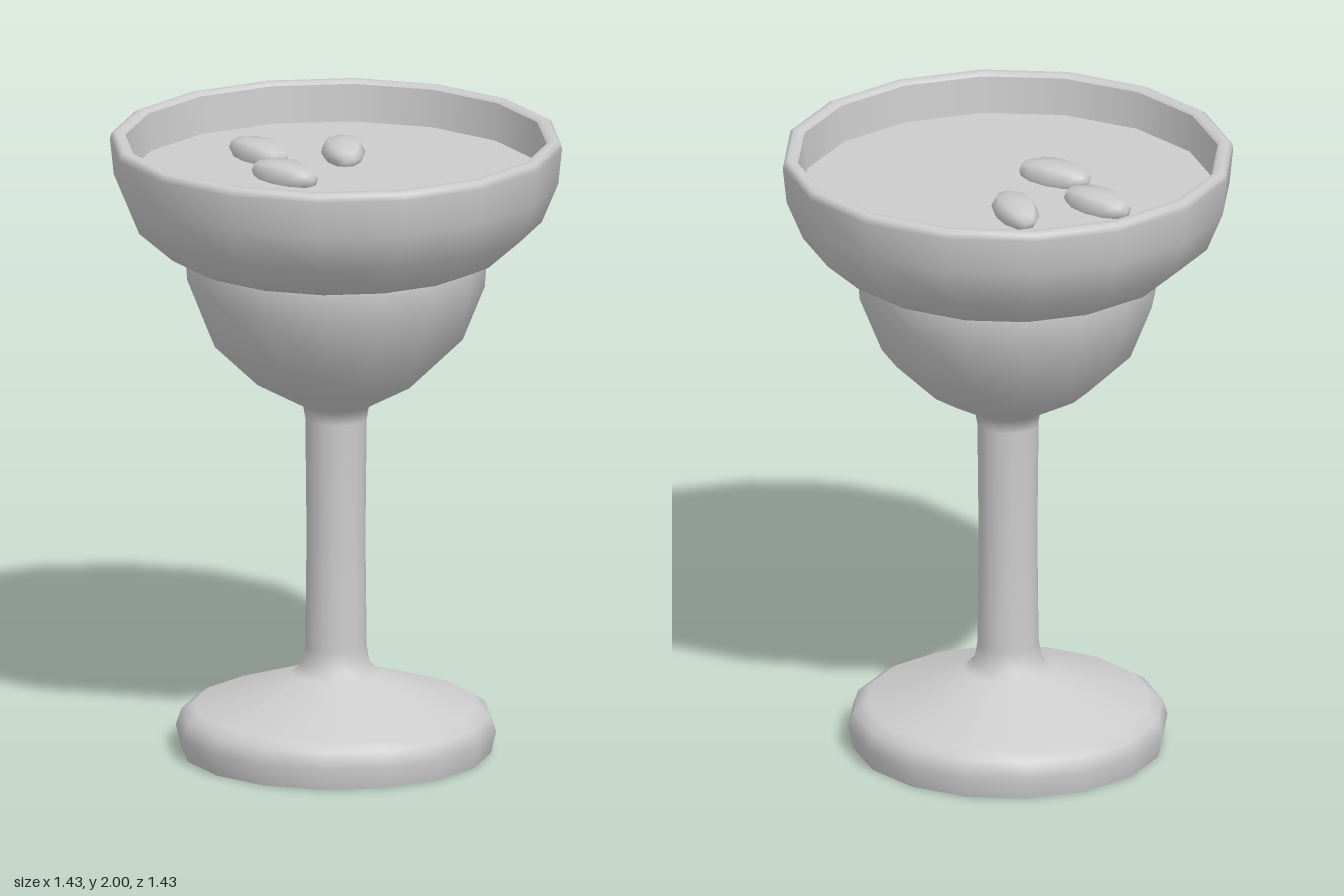
import * as THREE from 'three';
import { mergeVertices } from 'three/addons/utils/BufferGeometryUtils.js';

const SIDES = 16;

export function createModel() {
  const model = new THREE.Group();
  model.name = 'cocktailGlass';
  const grey = new THREE.MeshStandardMaterial({ color: 0xcccccc });
  grey.name = 'light grey';

  const add = (name, geometry) => {
    const mesh = new THREE.Mesh(geometry, grey);
    mesh.name = name;
    model.add(mesh);
    return mesh;
  };
  // turned part from [radius, height] pairs
  const turned = (name, profile) =>
    add(name, new THREE.LatheGeometry(profile.map(([r, y]) => new THREE.Vector2(r, y)), SIDES));

  // flat underside of the foot
  turned('footUnderside', [[0, 0], [0.49, 0]]);

  // foot, stem and lower bowl in one smooth sweep
  turned('footStemAndLowerBowl', [
    [0.49, 0], [0.506, 0.07], [0.49, 0.12], [0.45, 0.146], [0.14, 0.252], [0.108, 0.28],
    [0.097, 0.34], [0.093, 0.7], [0.097, 1.08], [0.105, 1.125],
    [0.26, 1.21], [0.4, 1.345], [0.47, 1.52], [0.476, 1.6], [0.474, 1.615],
  ]);

  // wide upper bowl, with the rim rolled over to the inside wall
  turned('upperBowl', [
    [0.47, 1.612], [0.49, 1.614], [0.54, 1.638], [0.65, 1.735], [0.702, 1.86],
    [0.714, 1.975], [0.71, 1.993], [0.698, 2], [0.675, 2], [0.665, 1.99],
  ]);
  turned('innerWall', [[0.665, 1.99], [0.655, 1.86]]);

  // drink surface
  turned('drink', [[0.657, 1.87], [0, 1.87]]);

  // floating beans: stretched spheres with a groove along the top
  const beanShape = () => {
    const g = new THREE.SphereGeometry(1, 8, 6).rotateX(Math.PI / 2);
    g.deleteAttribute('uv');
    g.deleteAttribute('normal');
    const bean = mergeVertices(g, 1e-4);
    const p = bean.attributes.position;
    for (let i = 0; i < p.count; i++) {
      const groove = Math.abs(p.getX(i)) < 0.01 && p.getY(i) > 0 && Math.abs(p.getZ(i)) < 0.7;
      if (groove) p.setY(i, p.getY(i) * 0.68);
    }
    bean.scale(0.07, 0.054, 0.128);
    bean.computeVertexNormals();
    return bean;
  };
  const beans = [[-0.167, -0.278, 0.32], [0.09, -0.208, -0.24], [-0.168, -0.003, 0.5]];
  beans.forEach(([x, z, turn], i) => {
    const bean = add(`bean${i + 1}`, beanShape());
    bean.position.set(x, 1.888, z);
    bean.rotation.y = turn;
  });

  return model;
}
